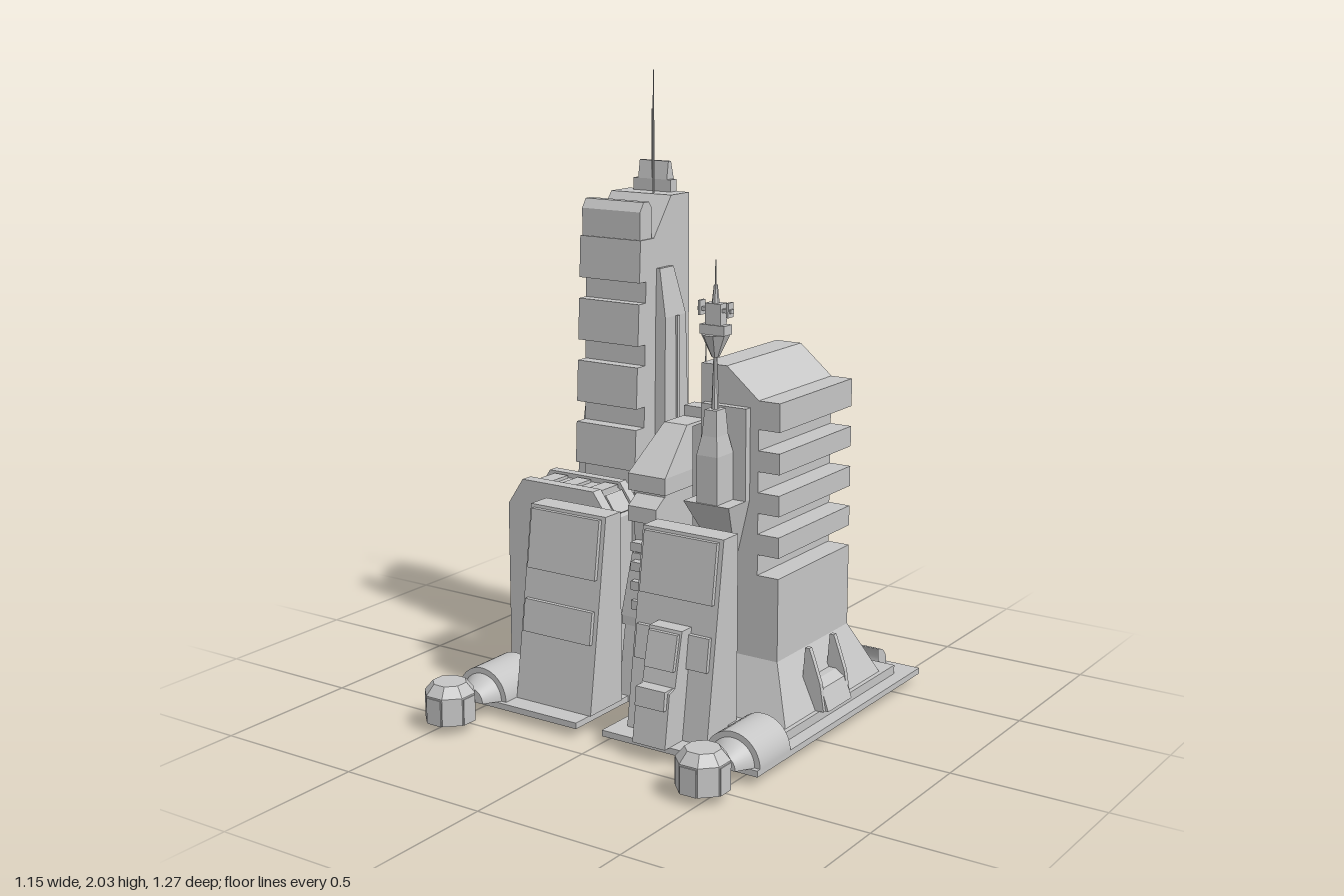
import * as THREE from 'three';

export function createModel() {
  const root = new THREE.Group();
  root.name = 'cityBlock';
  const grey = new THREE.MeshStandardMaterial({ color: 0xc6c6c6, side: THREE.DoubleSide });
  grey.name = 'concreteGrey';
  let parent = root;

  const group = (name) => {
    parent = new THREE.Group();
    parent.name = name;
    root.add(parent);
    return parent;
  };
  const add = (name, geo) => {
    const m = new THREE.Mesh(geo, grey);
    m.name = name;
    parent.add(m);
    return m;
  };
  const flat = (g) => {
    const n = g.index ? g.toNonIndexed() : g;
    n.computeVertexNormals();
    return n;
  };
  const box = (name, x0, x1, y0, y1, z0, z1) =>
    add(name, new THREE.BoxGeometry(x1 - x0, y1 - y0, z1 - z0)
      .translate((x0 + x1) / 2, (y0 + y1) / 2, (z0 + z1) / 2));
  const extrude = (pts, depth) => new THREE.ExtrudeGeometry(
    new THREE.Shape(pts.map(([a, b]) => new THREE.Vector2(a, b))), { depth, bevelEnabled: false });
  // profile of [z, y] points swept along x
  const sweepX = (name, pts, x0, x1) =>
    add(name, extrude(pts.map(([z, y]) => [-z, y]), x1 - x0).rotateY(Math.PI / 2).translate(x0, 0, 0));
  // profile of [x, y] points swept along z
  const sweepZ = (name, pts, z0, z1) => add(name, extrude(pts, z1 - z0).translate(0, 0, z0));
  // block between two rectangles [x0, x1, z0, z1]; optionally without top and bottom
  const loft = (name, y0, a, y1, b, open = false) => {
    const g = new THREE.BoxGeometry(1, 1, 1);
    const p = g.attributes.position;
    for (let i = 0; i < p.count; i++) {
      const up = p.getY(i) > 0, r = up ? b : a;
      p.setXYZ(i, p.getX(i) < 0 ? r[0] : r[1], up ? y1 : y0, p.getZ(i) < 0 ? r[2] : r[3]);
    }
    if (open) g.setIndex([...g.index.array].filter((_, i) => i < 12 || i >= 24));
    return add(name, flat(g));
  };
  const cyl = (name, rt, rb, y0, y1, x, z, n = 8) =>
    add(name, flat(new THREE.CylinderGeometry(rt, rb, y1 - y0, n).rotateY(Math.PI / n)
      .translate(x, (y0 + y1) / 2, z)));
  // half cylinder lying on the ground
  const barrelZ = (name, r0, r1, z0, z1, x) =>
    add(name, new THREE.CylinderGeometry(r1, r0, z1 - z0, 24, 1, false, Math.PI / 2, Math.PI)
      .rotateX(Math.PI / 2).translate(x, 0.02, (z0 + z1) / 2));
  // flat rectangular frame, open in the middle
  const frame = (name, o, h, y0, y1) => {
    const s = new THREE.Shape();
    const rect = (path, [x0, x1, z0, z1]) => {
      path.moveTo(x0, -z0); path.lineTo(x1, -z0); path.lineTo(x1, -z1); path.lineTo(x0, -z1); path.closePath();
      return path;
    };
    rect(s, o);
    s.holes.push(rect(new THREE.Path(), h));
    add(name, new THREE.ExtrudeGeometry(s, { depth: y1 - y0, bevelEnabled: false })
      .rotateX(-Math.PI / 2).translate(0, y0, 0));
  };

  // ground slabs
  group('groundSlabs');
  box('rightSlab', -0.58, -0.09, 0, 0.02, -0.63, 0.41);
  frame('leftSlab', [0.01, 0.575, -0.63, 0.41], [0.07, 0.515, -0.455, 0.15], 0, 0.02);
  frame('leftPlinth', [0.05, 0.53, -0.535, 0.22], [0.07, 0.515, -0.455, 0.15], 0.02, 0.05);
  box('rightPlinth', -0.51, -0.18, 0.02, 0.05, -0.47, 0.17);

  // notched tower on a flared foot
  group('notchedTower');
  const body = [0.12, 0.435, -0.375, 0.07];
  loft('flaredFoot', 0.05, [0.07, 0.515, -0.455, 0.15], 0.225, body, true);
  const prof = [[0.12, 0.225], [0.435, 0.225]];
  for (let i = 3; i >= 0; i--) {
    const top = 0.955 - i * 0.132, bot = top - 0.066;
    prof.push([0.435, bot], [0.36, bot], [0.36, top], [0.435, top]);
  }
  prof.push([0.435, 1.045], [0.36, 1.045], [0.245, 1.14], [0.153, 1.14], [0.153, 0.95], [0.12, 0.935]);
  sweepZ('towerBody', prof, -0.375, 0.07);
  const vault = add('rearVault', new THREE.CylinderGeometry(0.06, 0.06, 0.345, 24, 1, false, 0, Math.PI)
    .rotateZ(Math.PI / 2).rotateX(-Math.PI / 2));
  vault.geometry.computeBoundingBox();
  if (vault.geometry.boundingBox.max.y < 0.03) vault.geometry.rotateX(Math.PI);
  vault.position.set(0.293, 0.03, -0.54);
  sweepZ('sideGate', [[0.43, 0.05], [0.555, 0.05], [0.53, 0.12], [0.5, 0.14], [0.43, 0.14]], -0.195, -0.045);
  for (const z of [-0.205, -0.05])
    sweepZ('gatePost', [[0.46, 0.05], [0.545, 0.05], [0.53, 0.14], [0.505, 0.21], [0.49, 0.25], [0.475, 0.25]], z, z + 0.017);

  // bracket and signal mast on the tower front
  group('signalMast');
  loft('bracket', 0.56, [0.21, 0.29, 0.06, 0.09], 0.73, [0.165, 0.33, 0.06, 0.19]);
  box('backPlate', 0.168, 0.33, 0.73, 1.02, 0.06, 0.095);
  loft('shaft', 0.73, [0.21, 0.285, 0.09, 0.185], 0.88, [0.21, 0.285, 0.095, 0.185]);
  loft('shoulder', 0.88, [0.21, 0.285, 0.095, 0.185], 0.94, [0.222, 0.276, 0.11, 0.175]);
  loft('neck', 0.94, [0.222, 0.276, 0.11, 0.175], 1.02, [0.228, 0.27, 0.115, 0.168]);
  cyl('pole', 0.006, 0.012, 1.02, 1.19, 0.248, 0.14);
  cyl('headCone', 0.045, 0.012, 1.18, 1.25, 0.248, 0.14);
  box('head', 0.205, 0.292, 1.25, 1.28, 0.118, 0.162);
  box('headTop', 0.222, 0.276, 1.28, 1.345, 0.122, 0.158);
  for (const s of [-1, 1]) {
    box('sideArm', 0.248 + s * 0.042 - 0.018, 0.248 + s * 0.042 + 0.018, 1.318, 1.33, 0.132, 0.148);
    box('sidePod', 0.248 + s * 0.05 - 0.004, 0.248 + s * 0.05 + 0.004, 1.305, 1.35, 0.125, 0.155);
  }
  cyl('antennaBase', 0.006, 0.012, 1.345, 1.4, 0.248, 0.14);
  cyl('antenna', 0.002, 0.003, 1.4, 1.475, 0.248, 0.14, 6);

  // two leaning front blocks with raised panels
  group('frontBlocks');
  const lean = (y) => 0.25 + (0.65 - y) * 0.143;
  for (const x of [-0.38, 0.057]) {
    sweepX('frontBlock', [[0.17, 0.02], [0.17, 0.65], [0.25, 0.65], [lean(0.02), 0.02]], x, x + 0.295);
    for (const [a, b] of [[0.45, 0.64], [0.245, 0.35]])
      sweepX('raisedPanel', [[0.22, a], [0.22, b], [lean(b) + 0.014, b], [lean(a) + 0.014, a]], x + 0.014, x + 0.28);
  }
  sweepX('porch', [[0.3, 0.02], [0.28, 0.37], [0.342, 0.37], [0.38, 0.2], [0.41, 0.19], [0.435, 0.02]], 0.143, 0.263);
  sweepX('porchPanel', [[0.33, 0.25], [0.33, 0.36], [0.357, 0.36], [0.382, 0.25]], 0.15, 0.256);
  sweepX('porchPanel', [[0.38, 0.14], [0.38, 0.2], [0.425, 0.2], [0.432, 0.14]], 0.15, 0.256);

  // barrel tunnels with octagonal pods
  for (const x of [-0.478, 0.478]) {
    group('tunnelAndPod');
    barrelZ('tunnel', 0.097, 0.097, 0.22, 0.395, x);
    barrelZ('tunnelTaper', 0.078, 0.045, 0.395, 0.45, x);
    barrelZ('link', 0.016, 0.016, 0.44, 0.49, x);
    cyl('podWall', 0.083, 0.083, 0, 0.09, x, 0.555);
    cyl('podRoof', 0.055, 0.083, 0.09, 0.123, x, 0.555);
    for (let i = 0; i < 4; i++) {
      const d = add('podDoor', new THREE.BoxGeometry(0.055, 0.085, 0.01).translate(0, 0.0425, 0.075));
      d.position.set(x, 0, 0.555);
      d.rotation.y = i * Math.PI / 2;
    }
  }

  // narrow middle building
  group('middleBuilding');
  loft('foot', 0.0, [-0.128, 0.045, -0.57, 0.13], 0.25, [-0.12, 0.035, -0.53, 0.1]);
  box('footBand', -0.133, 0.052, 0.25, 0.28, -0.53, 0.1);
  loft('skirt', 0.28, [-0.135, 0.055, -0.52, 0.1], 0.49, [-0.105, 0.028, -0.46, 0.08]);
  box('waist', -0.098, 0.02, 0.49, 0.7, -0.41, 0.075);
  sweepX('collar', [[-0.41, 0.6], [-0.51, 0.615], [-0.51, 0.645], [-0.41, 0.69], [0.08, 0.69], [0.125, 0.66], [0.125, 0.61], [0.08, 0.6]], -0.088, 0.02);
  box('headBand', -0.112, 0.03, 0.7, 0.755, -0.485, 0.09);
  loft('headRoof', 0.755, [-0.112, 0.03, -0.485, 0.09], 0.895, [-0.082, 0.006, -0.375, -0.07]);
  for (let i = 0; i < 4; i++) box('frontRib', -0.09, 0.01, 0.31 + i * 0.065, 0.34 + i * 0.065, 0.05, 0.11);
  box('roofUnit', -0.078, -0.003, 0.89, 0.93, -0.24, -0.18);
  cyl('turret', 0.02, 0.028, 0.89, 0.97, -0.04, -0.31, 6);
  box('turretHead', -0.066, -0.006, 0.915, 0.955, -0.322, -0.298);
  cyl('antenna', 0.002, 0.003, 0.9, 1.2, -0.017, -0.215, 6);
  for (const z of [-0.315, -0.135])
    sweepZ('skyBridge', [[0.0, 0.8], [0.13, 0.85], [0.13, 0.885], [0.0, 0.83]], z, z + 0.03);

  // tall tower with stacked front bays
  group('tallTower');
  sweepX('core', [[-0.375, 0.02], [-0.375, 1.6], [-0.27, 1.6], [-0.17, 1.47], [-0.128, 1.47], [-0.09, 0.02]], -0.43, -0.19);
  const face = (y) => -0.095 + (1.47 - y) * 0.049;
  for (let i = 0; i < 5; i++) {
    const t = 1.47 - i * 0.206, b = t - 0.137;
    sweepX('frontBay', [[-0.2, b], [-0.2, t], [face(t), t], [face(b), b]], -0.43, -0.19);
  }
  sweepX('bayCap', [[-0.165, 1.46], [-0.165, 1.57], [-0.15, 1.59], [-0.12, 1.59], [-0.1, 1.56], [-0.1, 1.46]], -0.425, -0.195);
  sweepX('rearSpine', [[-0.34, 0.02], [-0.34, 1.64], [-0.35, 1.7], [-0.365, 1.7], [-0.39, 1.61], [-0.39, 1.25], [-0.412, 1.12], [-0.412, 0.02]], -0.37, -0.255);
  box('roofStep', -0.39, -0.24, 1.6, 1.64, -0.375, -0.34);
  cyl('tallAntenna', 0.002, 0.004, 1.6, 2.0, -0.28, -0.3, 6);
  cyl('shortAntenna', 0.002, 0.003, 1.6, 1.87, -0.315, -0.343, 6);
  loft('sidePier', 0.02, [-0.2, -0.145, -0.34, -0.16], 1.21, [-0.2, -0.152, -0.3, -0.18]);
  loft('sidePierTop', 1.21, [-0.2, -0.152, -0.3, -0.18], 1.37, [-0.2, -0.177, -0.265, -0.185]);
  box('pierRib', -0.18, -0.145, 0.6, 1.21, -0.256, -0.24);
  // leaning outer buttress
  sweepZ('buttress', [[-0.552, 0.02], [-0.5, 0.69], [-0.466, 0.925], [-0.42, 0.925], [-0.42, 0.02]], -0.4, -0.17);

  // arched block with a band of windows
  group('archedBlock');
  const arch = (d) => [[-0.555 + d, 0.02], [-0.555 + d, 0.6 - d * 0.4], [-0.495 + d * 0.4, 0.69 - d],
    [-0.21 - d * 0.4, 0.69 - d], [-0.145 - d, 0.6 - d * 0.4], [-0.145 - d, 0.02]];
  sweepZ('archCore', arch(0.016), -0.01, 0.12);
  sweepZ('archRim', arch(0), -0.035, 0.0);
  sweepZ('archRim', arch(0), 0.105, 0.147);
  for (const x of [-0.47, -0.375, -0.265]) box('roofWindow', x, x + 0.055, 0.66, 0.684, 0.008, 0.097);
  for (let i = 0; i < 5; i++) box('sideWindow', -0.55, -0.52, 0.07 + i * 0.105, 0.145 + i * 0.105, 0.008, 0.097);
  for (const [x, s] of [[-0.519, 1], [-0.181, -1]]) {
    const w = add('cornerWindow', new THREE.BoxGeometry(0.07, 0.012, 0.089));
    w.position.set(x, 0.637, 0.0525);
    w.rotation.z = s * 0.97;
  }

  // stepped annexe and bulging pods at the rear
  group('rearAnnexe');
  sweepX('steppedAnnexe', [[-0.37, 0.02], [-0.37, 0.49], [-0.525, 0.49], [-0.56, 0.385], [-0.585, 0.35],
    [-0.637, 0.21], [-0.615, 0.185], [-0.635, 0.02]], -0.402, -0.263);
  sweepX('annexePanel', [[-0.5, 0.4], [-0.5, 0.48], [-0.543, 0.48], [-0.57, 0.4]], -0.39, -0.275);
  for (const [y, z] of [[0.03, -0.565], [0.22, -0.53]])
    sweepX('rearPod', [[-0.37, y], [-0.37, y + 0.18], [z + 0.07, y + 0.18], [z, y + 0.12], [z, y + 0.06], [z + 0.05, y]], -0.487, -0.185);
  return root;
}
